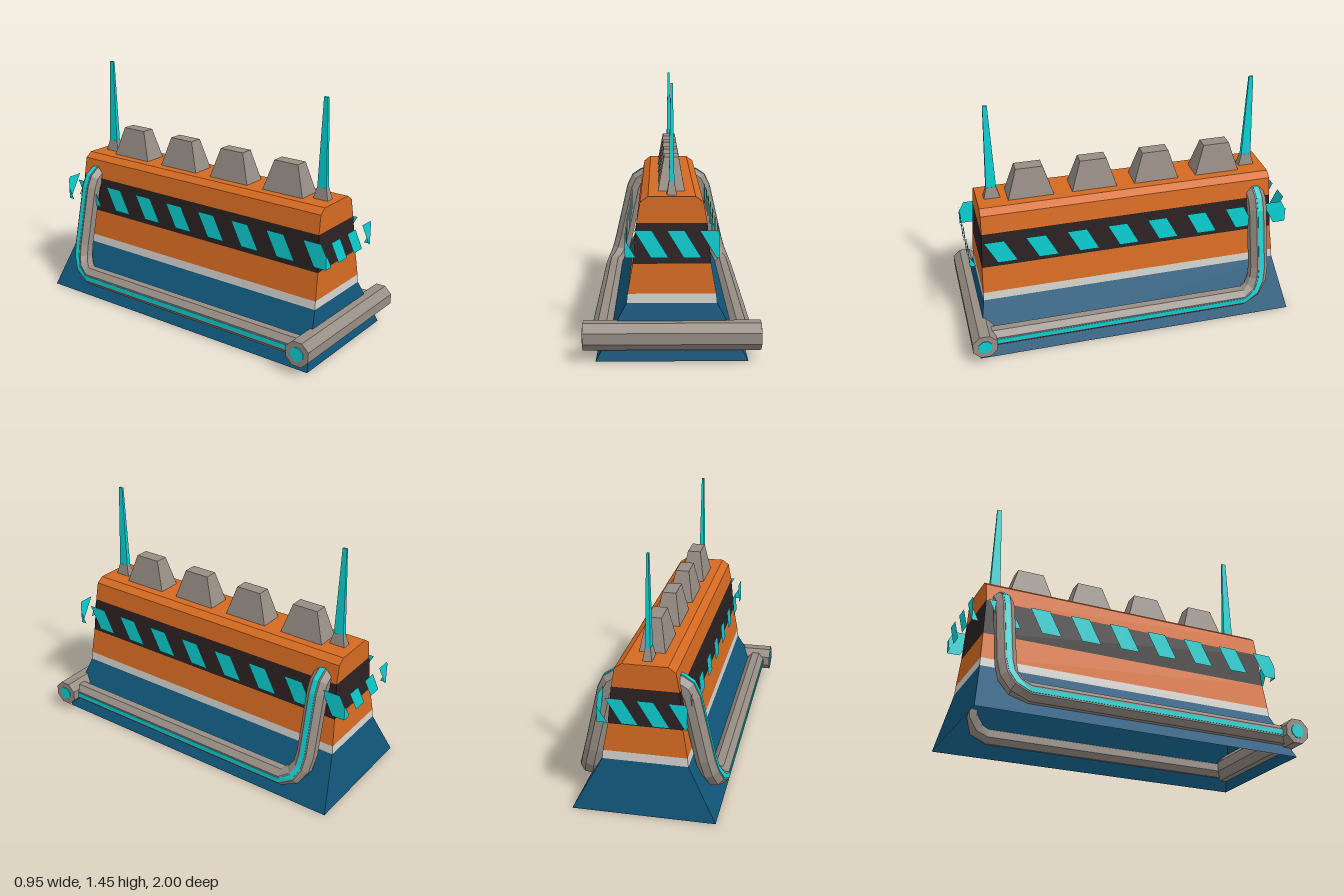
import * as THREE from 'three';

const paint = (name, color) => {
  const m = new THREE.MeshStandardMaterial({ color, flatShading: true, side: THREE.DoubleSide });
  m.name = name;
  return m;
};

function geometryFrom(positions) {
  const g = new THREE.BufferGeometry();
  g.setAttribute('position', new THREE.Float32BufferAttribute(positions, 3));
  g.computeVertexNormals();
  return g;
}

// Joins equal rings of Vector3 into a closed-around, open-ended skin
function skin(rings) {
  const out = [];
  for (let i = 0; i < rings.length - 1; i++) {
    const n = rings[i].length;
    for (let j = 0; j < n; j++) {
      const k = (j + 1) % n;
      const a = rings[i][j], b = rings[i][k], c = rings[i + 1][k], d = rings[i + 1][j];
      for (const p of [a, b, c, a, c, d]) out.push(p.x, p.y, p.z);
    }
  }
  return geometryFrom(out);
}

// Sweeps a section of [outward, sideways] points along stations {p, n}
function sweep(stations, section) {
  return skin(stations.map(({ p, n }, i) => {
    const prev = stations[Math.max(i - 1, 0)].p;
    const next = stations[Math.min(i + 1, stations.length - 1)].p;
    const t = next.clone().sub(prev).normalize();
    const out = n.clone().addScaledVector(t, -n.dot(t)).normalize();
    const side = t.clone().cross(out);
    return section.map(([u, v]) => p.clone().addScaledVector(out, u).addScaledVector(side, v));
  }));
}

// Box standing on y = 0 with half sizes at the bottom and the top
function taperedBox(bx, bz, tx, tz, h) {
  const g = new THREE.BoxGeometry(2, h, 2).translate(0, h / 2, 0);
  const pos = g.attributes.position;
  for (let i = 0; i < pos.count; i++) {
    const top = pos.getY(i) > h / 2;
    pos.setX(i, pos.getX(i) * (top ? tx : bx));
    pos.setZ(i, pos.getZ(i) * (top ? tz : bz));
  }
  return g;
}

// Keeps the part of a polygon where sign * x <= sign * limit
function clip(poly, limit, sign) {
  const out = [];
  poly.forEach((a, i) => {
    const b = poly[(i + 1) % poly.length];
    const da = sign * (limit - a.x), db = sign * (limit - b.x);
    if (da >= 0) out.push(a);
    if (da * db < 0) out.push(a.clone().lerp(b, da / (da - db)));
  });
  return out;
}

// Slanted stripes on a flat wall of the given length, centred on x = 0
function stripes(length, { start, period, width, skew }) {
  const shapes = [], y0 = 0.557, y1 = 0.702, half = length / 2;
  for (let a = start - period - half; a < half; a += period) {
    let poly = [[a + skew, y0], [a + skew + width, y0], [a + width, y1], [a, y1]]
      .map(([x, y]) => new THREE.Vector2(x, y));
    poly = clip(clip(poly, half, 1), -half, -1);
    if (poly.length > 2) shapes.push(new THREE.Shape(poly));
  }
  return new THREE.ShapeGeometry(shapes);
}

export function createModel() {
  const model = new THREE.Group();
  const orange = paint('orange', 0xd56a22);
  const blue = paint('deep blue', 0x10567a);
  const grey = paint('warm grey', 0x978d85);
  const cyan = paint('cyan', 0x0cd2d4);
  const black = paint('black', 0x2b2122);
  const white = paint('off white', 0xd4d3ce);

  const add = (name, geometry, material, x = 0, y = 0, z = 0, parent = model) => {
    const mesh = new THREE.Mesh(geometry, material);
    mesh.name = name;
    mesh.position.set(x, y, z);
    parent.add(mesh);
    return mesh;
  };

  // Hull: open-bottomed shell in bands; levels are [y, half width, front z, back z]
  const levels = [
    [0, 0.403, 0.957, -1.0], [0.3, 0.24, 0.895, -0.938], [0.35, 0.235, 0.893, -0.935],
    [0.51, 0.207, 0.885, -0.921], [0.725, 0.187, 0.871, -0.909],
    [0.835, 0.167, 0.867, -0.908], [0.865, 0.125, 0.866, -0.908],
  ].map(([y, w, f, b]) => [[w, f], [w, b], [-w, b], [-w, f]].map(([x, z]) => new THREE.Vector3(x, y, z)));
  const bands = [
    ['skirt', blue, 0, 2], ['whiteBand', white, 1, 3], ['lowerHull', orange, 2, 4],
    ['blackBand', black, 3, 5], ['roofSides', orange, 4, 7],
  ];
  for (const [name, material, from, to] of bands) add(name, skin(levels.slice(from, to)), material);
  add('roofTop', new THREE.PlaneGeometry(0.25, 1.774).rotateX(-Math.PI / 2), orange, 0, 0.865, -0.021);

  // Warning stripes: four upright walls standing just off the hull
  const endStripes = stripes(0.49, { start: 0.048, period: 0.17, width: 0.092, skew: 0.088 });
  const sideStripes = stripes(1.957, { start: 0.09, period: 0.245, width: 0.118, skew: 0.075 });
  add('frontStripes', endStripes, cyan, 0, 0, 0.957);
  add('backStripes', endStripes, cyan, 0, 0, -1.0).rotation.y = Math.PI;
  add('leftStripes', sideStripes, cyan, 0.245, 0, -0.0215).rotation.y = Math.PI / 2;
  add('rightStripes', sideStripes, cyan, -0.245, 0, -0.0215).rotation.y = -Math.PI / 2;

  // Roof blocks
  for (const z of [0.55, 0.167, -0.215, -0.6]) {
    add('roofBlock', taperedBox(0.073, 0.137, 0.04, 0.08, 0.18), grey, 0, 0.865, z);
  }

  // Antennas
  for (const z of [0.775, -0.808]) {
    const antenna = new THREE.Group();
    antenna.name = 'antenna';
    antenna.position.set(0, 0.865, z);
    add('antennaFoot', taperedBox(0.026, 0.048, 0.015, 0.03, 0.068), grey, 0, 0, 0, antenna);
    add('antennaMast', taperedBox(0.014, 0.03, 0.006, 0.013, 0.517), cyan, 0, 0.068, 0, antenna);
    model.add(antenna);
  }

  // Front bumper: eight-sided bar with cyan end plates
  const bar = (r, length) => new THREE.CylinderGeometry(r, r, length, 8)
    .rotateY(Math.PI / 8).rotateZ(Math.PI / 2);
  add('bumper', bar(0.079, 0.94), grey, 0, 0.135, 0.929);
  for (const s of [1, -1]) add('bumperEnd', bar(0.043, 0.008), cyan, s * 0.471, 0.135, 0.929);

  // Side pipes with a cyan line along the outside: [x, y, z, outward x, outward y]
  const route = [
    [0.372, 0.13, 0.93, 1, 0], [0.372, 0.13, -0.7, 1, 0], [0.357, 0.16, -0.765, 0.99, 0.1],
    [0.334, 0.22, -0.805, 0.98, 0.2], [0.312, 0.3, -0.817, 0.98, 0.2],
    [0.229, 0.665, -0.815, 0.96, 0.28], [0.205, 0.715, -0.815, 0.75, 0.66],
    [0.17, 0.737, -0.815, 0.3, 0.95], [0.13, 0.742, -0.815, 0, 1],
  ];
  const octagon = Array.from({ length: 8 }, (_, i) => {
    const a = (i + 0.5) * Math.PI / 4, r = 0.055 / Math.cos(Math.PI / 8);
    return [r * Math.cos(a), r * Math.sin(a)];
  });
  const strip = [[0.051, -0.014], [0.058, -0.014], [0.058, 0.014], [0.051, 0.014]];
  for (const [s, label] of [[1, 'left'], [-1, 'right']]) {
    const stations = route.map(([x, y, z, nx, ny]) => ({
      p: new THREE.Vector3(s * x, y, z), n: new THREE.Vector3(s * nx, ny, 0),
    }));
    add(label + 'Pipe', sweep(stations, octagon), grey);
    add(label + 'PipeLine', sweep(stations, strip), cyan);
  }
  return model;
}
